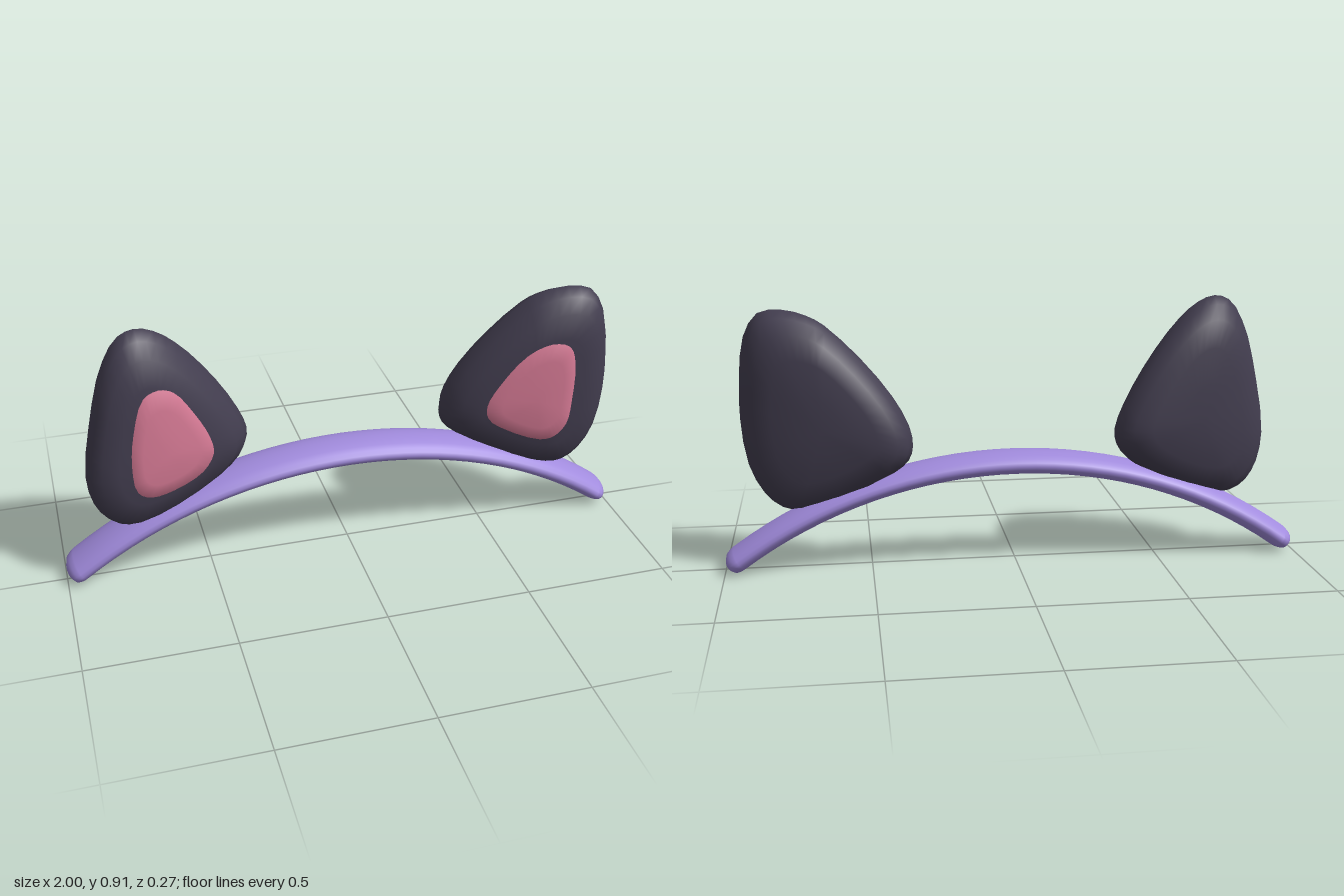
import * as THREE from 'three';
import { mergeVertices } from 'three/addons/utils/BufferGeometryUtils.js';

// Smooth skin over a list of closed rings of equal length
function loft(rings) {
  const n = rings[0].length, pos = [], idx = [];
  rings.forEach(r => r.forEach(p => pos.push(p.x, p.y, p.z)));
  for (let i = 0; i < rings.length - 1; i++) {
    for (let j = 0; j < n; j++) {
      const a = i * n + j, b = i * n + (j + 1) % n;
      idx.push(a, b, b + n, a, b + n, a + n);
    }
  }
  let g = new THREE.BufferGeometry();
  g.setAttribute('position', new THREE.Float32BufferAttribute(pos, 3));
  g.setIndex(idx);
  g = mergeVertices(g, 1e-5);
  g.computeVertexNormals();
  return g;
}

// Cushion: an outline scaled about a centre through [scale, z] steps, back to front,
// then sheared so that the outer side of the ear sits further forward
function cushion(outline, centre, steps, pivotX, slope) {
  const curve = new THREE.CatmullRomCurve3(
    outline.map(([x, y]) => new THREE.Vector3(x, y, 0)), true, 'centripetal');
  const pts = curve.getPoints(36).slice(0, -1);
  return loft(steps.map(([s, z]) => pts.map(p => {
    const x = centre[0] + (p.x - centre[0]) * s;
    const y = centre[1] + (p.y - centre[1]) * s;
    return new THREE.Vector3(x, y, z - 0.007 + slope * (x - pivotX));
  })));
}

// Curved band with an oval section and rounded ends
function bandGeometry() {
  const R = 1.63, peak = 0.353, end = 0.622, cap = 0.045;
  const stations = [];
  const capSteps = [[1, 0], [1, 0.55], [1, 0.8], [0.92, 0.88], [0.7, 0.96]];
  stations.push([-end - cap / R, 0]);
  for (const k of [0, 0.3, 0.6, 0.85, 1]) {
    stations.push([-end - cap / R * (1 - k), 0.55 + 0.45 * Math.sqrt(1 - (1 - k) ** 2)]);
  }
  for (let i = 1; i < 32; i++) stations.push([-end + 2 * end * i / 32, 1]);
  const mirrored = stations.slice(0, 6).reverse().map(([a, s]) => [-a, s]);
  return loft([...stations, ...mirrored].map(([a, s]) => {
    const ring = [];
    for (let j = 0; j < 20; j++) {
      const t = j / 20 * Math.PI * 2;
      const r = R + 0.04 * s * Math.cos(t);
      ring.push(new THREE.Vector3(
        r * Math.sin(a), peak - R + r * Math.cos(a), -0.015 + 0.09 * s * Math.sin(t)));
    }
    return ring;
  }));
}

export function createModel() {
  const material = (name, color) => {
    const m = new THREE.MeshStandardMaterial({ color });
    m.name = name;
    return m;
  };
  const lilac = material('lilac', 0xa18bdd);
  const charcoal = material('charcoal', 0x433e50);
  const pink = material('pink', 0xd97c97);

  const model = new THREE.Group();
  model.name = 'earHeadband';
  const add = (parent, name, geometry, mat) => {
    const mesh = new THREE.Mesh(geometry, mat);
    mesh.name = name;
    parent.add(mesh);
  };

  add(model, 'band', bandGeometry(), lilac);

  // Outlines run anticlockwise as seen from the front
  const ears = [
    {
      name: 'rightEar', centre: [-0.64, 0.5], slope: -0.18,
      outer: [[-0.70, 0.915], [-0.76, 0.895], [-0.82, 0.80], [-0.87, 0.62], [-0.902, 0.42],
        [-0.88, 0.30], [-0.83, 0.23], [-0.76, 0.205], [-0.60, 0.24], [-0.42, 0.335],
        [-0.355, 0.40], [-0.34, 0.46], [-0.37, 0.55], [-0.45, 0.69], [-0.55, 0.82], [-0.63, 0.89]],
      innerCentre: [-0.63, 0.5],
      inner: [[-0.65, 0.735], [-0.70, 0.715], [-0.74, 0.60], [-0.755, 0.48], [-0.743, 0.38],
        [-0.70, 0.35], [-0.62, 0.357], [-0.52, 0.40], [-0.48, 0.46], [-0.487, 0.52],
        [-0.54, 0.63], [-0.60, 0.715]],
    },
    {
      name: 'leftEar', centre: [0.66, 0.5], slope: 0.18,
      outer: [[0.78, 0.892], [0.70, 0.873], [0.64, 0.84], [0.52, 0.725], [0.42, 0.60],
        [0.367, 0.50], [0.355, 0.43], [0.37, 0.38], [0.42, 0.335], [0.60, 0.24],
        [0.74, 0.203], [0.80, 0.21], [0.86, 0.26], [0.91, 0.36], [0.932, 0.52],
        [0.929, 0.66], [0.91, 0.80], [0.86, 0.88]],
      innerCentre: [0.66, 0.51],
      inner: [[0.70, 0.72], [0.62, 0.68], [0.53, 0.57], [0.49, 0.49], [0.497, 0.44],
        [0.55, 0.40], [0.68, 0.35], [0.73, 0.36], [0.77, 0.41], [0.782, 0.50],
        [0.782, 0.65], [0.76, 0.71]],
    },
  ];
  const half = [[0, 0.113], [0.3, 0.11], [0.6, 0.102], [0.82, 0.085], [0.94, 0.045]];
  const earSteps = [...half.map(([s, z]) => [s, -z]), [1, 0], ...half.slice().reverse()];
  const padSteps = [[1, 0.09], [1, 0.108], [0.7, 0.114], [0.35, 0.118], [0, 0.12]];

  for (const e of ears) {
    const group = new THREE.Group();
    group.name = e.name;
    add(group, 'earShell', cushion(e.outer, e.centre, earSteps, e.centre[0], e.slope), charcoal);
    add(group, 'innerEar', cushion(e.inner, e.innerCentre, padSteps, e.centre[0], e.slope), pink);
    model.add(group);
  }
  return model;
}
